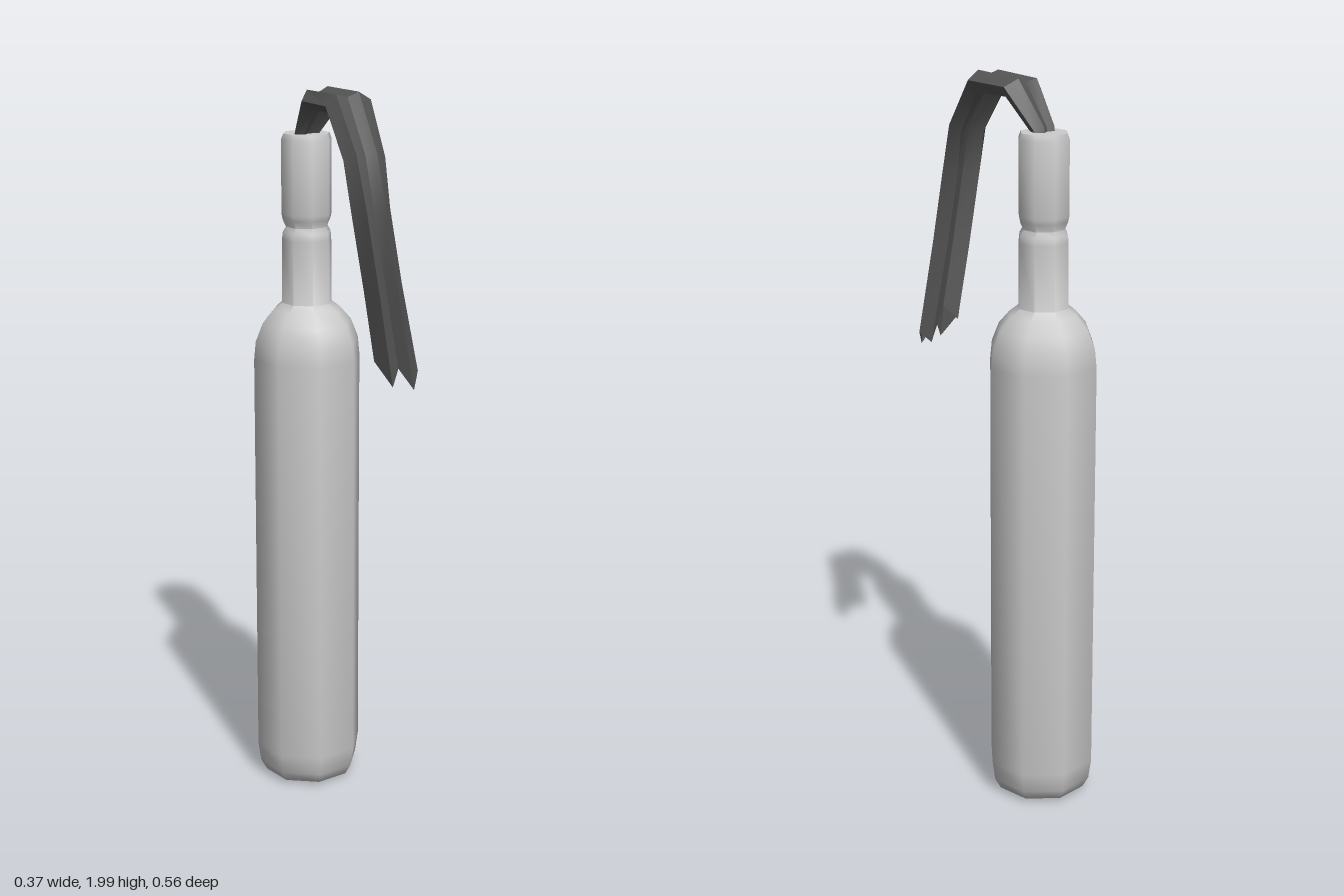
import * as THREE from 'three';
import { toCreasedNormals } from 'three/addons/utils/BufferGeometryUtils.js';

const V = (x, y, z) => new THREE.Vector3(x, y, z);

// Eight-sided bottle with shoulder, neck, pinch and capped mouth
function makeBottle() {
  const profile = [
    [0, 0.01], [0.1, 0.005], [0.125, 0.015], [0.142, 0.045], [0.15, 0.1],
    [0.15, 1.25], [0.145, 1.3], [0.125, 1.35], [0.095, 1.385], [0.07, 1.405],
    [0.069, 1.58], [0.067, 1.6], [0.058, 1.615], [0.067, 1.635], [0.07, 1.65],
    [0.07, 1.85], [0.064, 1.866], [0, 1.866],
  ].map(([r, y]) => new THREE.Vector2(r, y));
  const geometry = toCreasedNormals(new THREE.LatheGeometry(profile, 8), 1.0);
  const bottle = new THREE.Mesh(geometry, new THREE.MeshStandardMaterial({ color: 0xcccccc }));
  bottle.name = 'bottle';
  bottle.position.set(-0.035, 0, -0.135);
  return bottle;
}

// Creased cloth strip: a folded cross-section swept over stations
function makeRag() {
  // centre, half width, half thickness
  const stations = [
    [V(-0.04, 1.8, -0.14), 0.035, 0.02],
    [V(-0.037, 1.87, -0.125), 0.038, 0.022],
    [V(-0.012, 1.968, -0.05), 0.064, 0.03],
    [V(0.02, 1.968, 0.09), 0.063, 0.035],
    [V(0.034, 1.84, 0.195), 0.056, 0.037],
    [V(0.042, 1.71, 0.23), 0.05, 0.05],
    [V(0.078, 1.51, 0.22), 0.05, 0.05],
    [V(0.125, 1.275, 0.2), 0.056, 0.042],
  ];
  const fold = [[-1, -0.2], [-0.65, 0.8], [-0.1, 0.55], [0.35, 1], [1, 0.3], [0.75, -0.7], [0.1, -0.3], [-0.5, -1]];
  const ragged = [-0.05, 0.02, -0.02, 0.045, 0.01, 0.03, -0.07, -0.04];
  const n = fold.length, last = stations.length - 1;
  const positions = [], indices = [];

  stations.forEach(([centre, halfWidth, halfThick], i) => {
    const before = stations[Math.max(i - 1, 0)][0];
    const after = stations[Math.min(i + 1, last)][0];
    const along = after.clone().sub(before).normalize();
    const across = V(0.97, 0, -0.25);
    across.addScaledVector(along, -across.dot(along)).normalize();
    const outward = along.clone().cross(across);
    fold.forEach(([w, t], j) => {
      const p = centre.clone()
        .addScaledVector(across, w * halfWidth)
        .addScaledVector(outward, t * halfThick);
      if (i === last) p.addScaledVector(along, ragged[j]);
      positions.push(p.x, Math.min(p.y, 2), p.z);
      if (i < last) {
        const a = i * n + j, b = i * n + (j + 1) % n;
        indices.push(a, a + n, b, b, a + n, b + n);
      }
    });
  });

  const geometry = new THREE.BufferGeometry();
  geometry.setAttribute('position', new THREE.Float32BufferAttribute(positions, 3));
  geometry.setIndex(indices);
  const rag = new THREE.Mesh(
    toCreasedNormals(geometry, 0.6),
    new THREE.MeshStandardMaterial({ color: 0x555555, side: THREE.DoubleSide }),
  );
  rag.name = 'clothRag';
  return rag;
}

export function createModel() {
  const model = new THREE.Group();
  model.name = 'bottleWithRag';
  model.add(makeBottle(), makeRag());
  return model;
}
